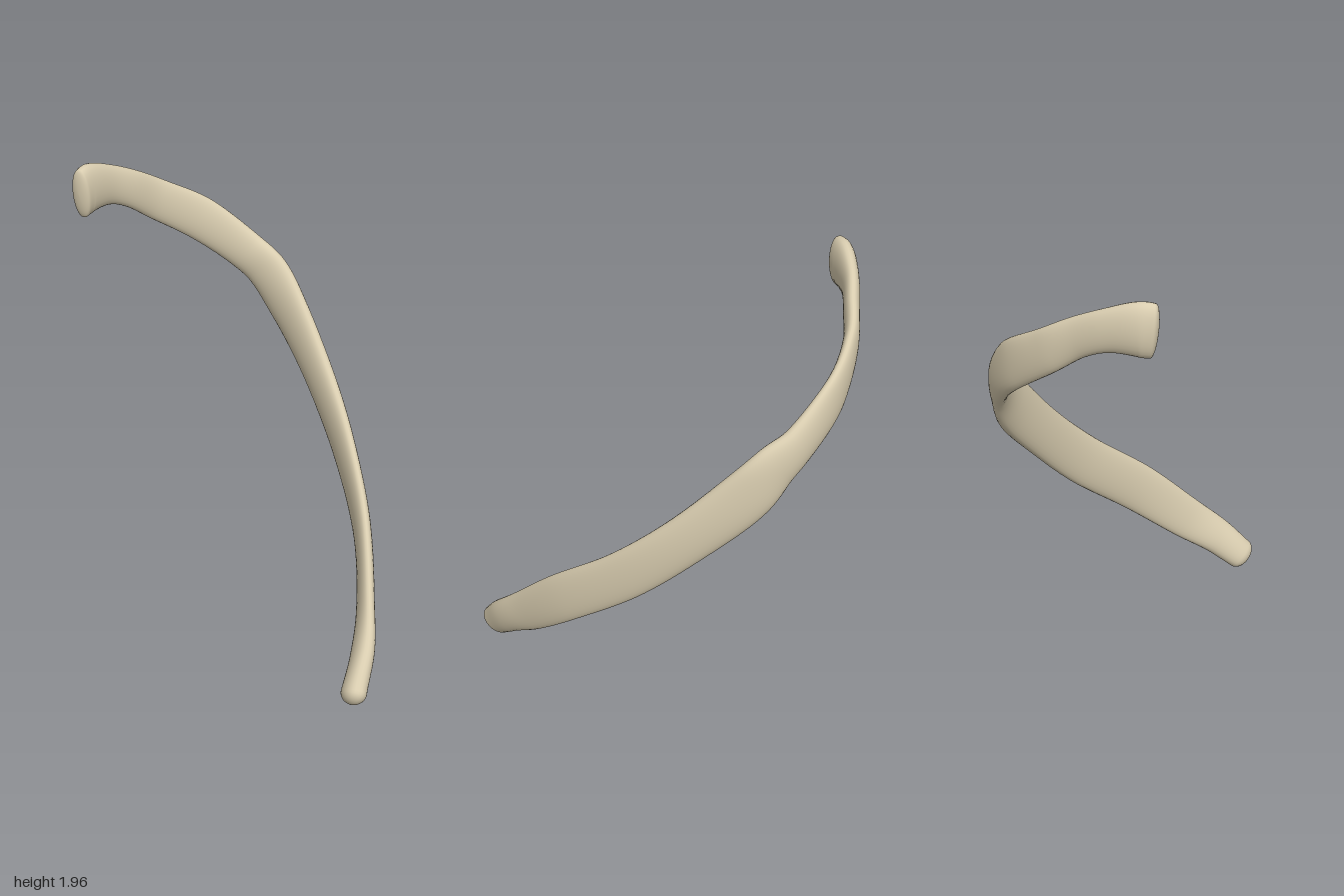
import * as THREE from 'three';

// Stations along the bone: x, y, z, half height, half thickness, outward lean of the upper edge
const STATIONS = [
  [-0.71, 1.885, 0.0, 0.108, 0.042, 0],
  [-0.703, 1.89, -0.05, 0.108, 0.046, 0],
  [-0.66, 1.87, -0.17, 0.085, 0.036, 0],
  [-0.605, 1.825, -0.27, 0.08, 0.033, 0],
  [-0.53, 1.74, -0.39, 0.088, 0.032, 0],
  [-0.39, 1.63, -0.51, 0.097, 0.034, 0],
  [-0.2, 1.485, -0.566, 0.093, 0.042, 0],
  [-0.1, 1.41, -0.56, 0.104, 0.044, 0],
  [0.01, 1.275, -0.522, 0.115, 0.044, 0],
  [0.2, 1.04, -0.39, 0.108, 0.042, 0],
  [0.385, 0.795, -0.203, 0.11, 0.036, 0],
  [0.55, 0.56, 0.045, 0.11, 0.034, 0],
  [0.645, 0.335, 0.285, 0.097, 0.035, 0.15],
  [0.68, 0.215, 0.43, 0.085, 0.046, 0.35],
  [0.684, 0.105, 0.55, 0.073, 0.052, 0.45],
];
const RINGS = 110, SIDES = 28, CAP = 7;

function boneGeometry() {
  const path = new THREE.CatmullRomCurve3(STATIONS.map(s => new THREE.Vector3(s[0], s[1], s[2])));
  const sizes = new THREE.CatmullRomCurve3(STATIONS.map(s => new THREE.Vector3(s[3], s[4], s[5])), false, 'catmullrom');
  const up = new THREE.Vector3(0, 1, 0);
  const positions = [], index = [];

  // One oval section; shift moves it along the bone and scale shrinks it for the rounded ends
  function addRing(u, shift, scale) {
    const tangent = path.getTangent(u);
    const centre = path.getPoint(u).addScaledVector(tangent, shift);
    const size = sizes.getPoint(u);
    const tall = up.clone().addScaledVector(tangent, -up.dot(tangent)).normalize();
    const out = new THREE.Vector3().crossVectors(tall, tangent).normalize();
    // the lean turns the section about the path
    tall.applyAxisAngle(tangent, -size.z);
    out.applyAxisAngle(tangent, -size.z);
    for (let i = 0; i < SIDES; i++) {
      const a = (i / SIDES) * Math.PI * 2;
      const c = Math.cos(a), s = Math.sin(a);
      const p = centre.clone()
        .addScaledVector(out, Math.sign(c) * Math.abs(c) ** 0.9 * size.y * scale)
        .addScaledVector(tall, s * size.x * scale);
      positions.push(p.x, p.y, p.z);
    }
  }

  // Blunt head, shaft, rounded front tip
  for (let i = 0; i < CAP; i++) {
    const a = (i / CAP) * Math.PI / 2;
    addRing(0, -0.022 * Math.cos(a), Math.max(Math.sin(a), 0.001));
  }
  for (let i = 0; i <= RINGS; i++) addRing(i / RINGS, 0, 1);
  for (let i = CAP - 1; i >= 0; i--) {
    const a = (i / CAP) * Math.PI / 2;
    addRing(1, 0.05 * Math.cos(a), Math.max(Math.sin(a), 0.001));
  }

  const total = positions.length / 3 / SIDES;
  for (let r = 0; r < total - 1; r++) {
    for (let i = 0; i < SIDES; i++) {
      const j = (i + 1) % SIDES;
      const a = r * SIDES + i, b = r * SIDES + j;
      index.push(a, b, a + SIDES, b, b + SIDES, a + SIDES);
    }
  }
  const geometry = new THREE.BufferGeometry();
  geometry.setAttribute('position', new THREE.Float32BufferAttribute(positions, 3));
  geometry.setIndex(index);
  geometry.computeVertexNormals();
  return geometry;
}

export function createModel() {
  const bone = new THREE.MeshStandardMaterial({ color: 0xd9cdb0 });
  bone.name = 'bone';
  const rib = new THREE.Mesh(boneGeometry(), bone);
  rib.name = 'ribBone';
  const group = new THREE.Group();
  group.name = 'rib';
  group.add(rib);
  return group;
}
